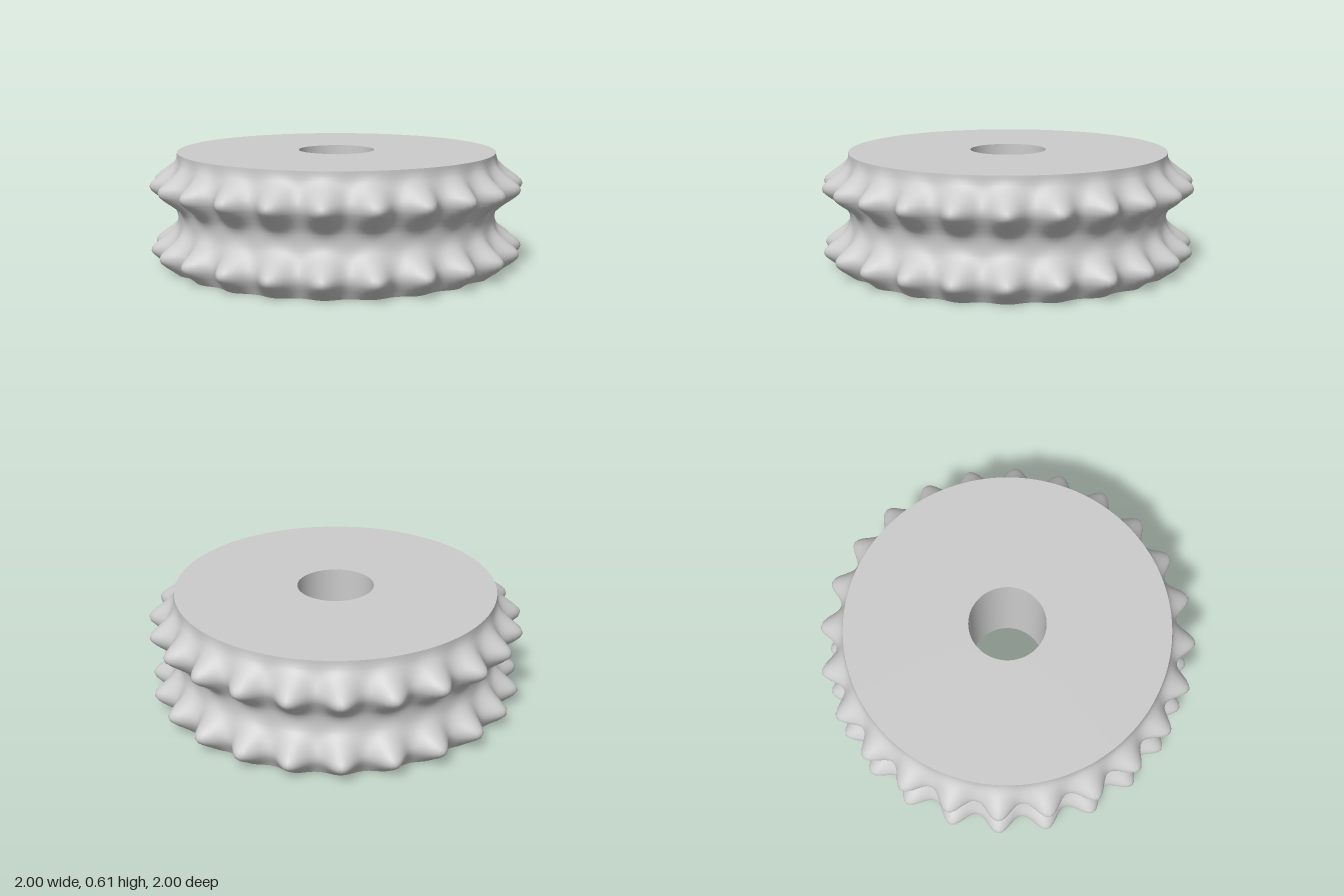
import * as THREE from 'three';
import { mergeVertices } from 'three/addons/utils/BufferGeometryUtils.js';

const TEETH = 24, SEGMENTS = TEETH * 12;
const HEIGHT = 0.61, CORE = 0.86, BORE = 0.205;
const ROWS = [0.095, 0.437]; // heights of the two rings of teeth

// Tooth section: 1 at the tip, 0 where it melts into the core
const SECTION = [[0, 1], [0.02, 0.95], [0.045, 0.76], [0.07, 0.52], [0.1, 0.25], [0.125, 0.09], [0.15, 0.02], [0.175, 0]];
function bump(y) {
  const d = Math.min(...ROWS.map((row) => Math.abs(y - row)));
  for (let i = 1; i < SECTION.length; i++) {
    const [d0, v0] = SECTION[i - 1], [d1, v1] = SECTION[i];
    if (d <= d1) return THREE.MathUtils.lerp(v0, v1, (d - d0) / (d1 - d0));
  }
  return 0;
}

// Radius of the toothed rim at a given angle and height
function rimRadius(angle, y) {
  const wave = 0.5 - 0.5 * Math.cos(TEETH * angle);
  return CORE + bump(y) * (0.056 + 0.0926 * Math.pow(wave, 1.15));
}

// Lathe a profile, push its outer points onto the toothed rim, then smooth it
function turned(points, name, material) {
  let geometry = new THREE.LatheGeometry(points.map(([r, y]) => new THREE.Vector2(r, y)), SEGMENTS);
  const p = geometry.attributes.position;
  for (let i = 0; i < p.count; i++) {
    const x = p.getX(i), y = p.getY(i), z = p.getZ(i);
    if (Math.hypot(x, z) < 0.5) continue;
    const angle = Math.atan2(x, z), r = rimRadius(angle, y);
    p.setXYZ(i, r * Math.sin(angle), y, r * Math.cos(angle));
  }
  geometry.deleteAttribute('uv');
  geometry.deleteAttribute('normal');
  geometry = mergeVertices(geometry, 1e-5);
  geometry.computeVertexNormals();
  const mesh = new THREE.Mesh(geometry, material);
  mesh.name = name;
  return mesh;
}

export function createModel() {
  const group = new THREE.Group();
  group.name = 'doubleToothedWheel';
  const material = new THREE.MeshStandardMaterial({ color: 0xcccccc });

  // Outer wall with both rings of teeth
  const wall = [];
  const steps = 60;
  for (let i = 0; i <= steps; i++) wall.push([CORE, (HEIGHT * i) / steps]);
  group.add(turned(wall, 'toothedRim', material));

  // Flat faces and the centre hole
  group.add(turned([[BORE, 0], [CORE, 0]], 'bottomFace', material));
  group.add(turned([[CORE, HEIGHT], [BORE, HEIGHT]], 'topFace', material));
  group.add(turned([[BORE, HEIGHT], [BORE, 0]], 'centreBore', material));
  return group;
}
